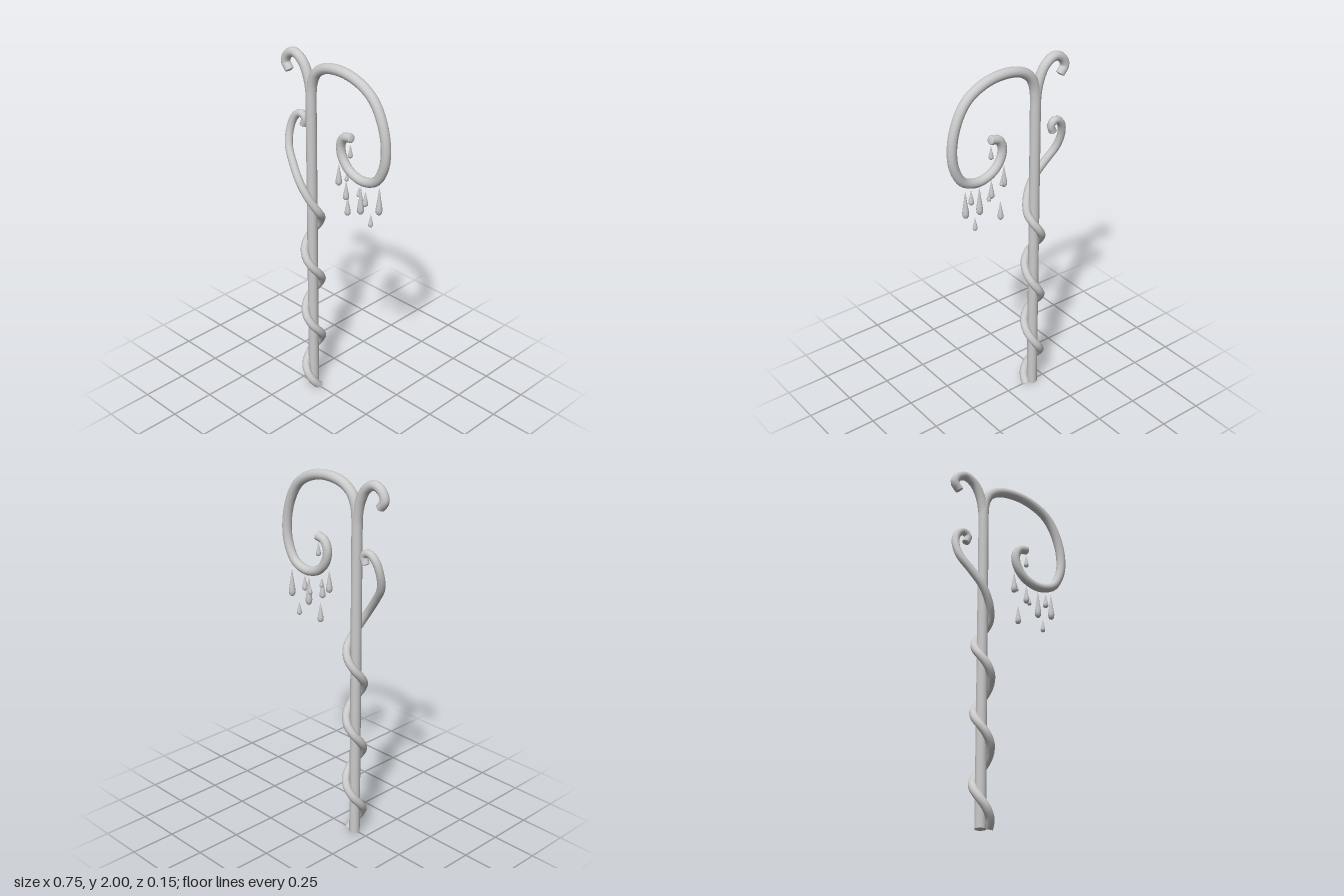
import * as THREE from 'three';

const POST_X = -0.168, POST_Z = -0.004;

export function createModel() {
  const model = new THREE.Group();
  const material = new THREE.MeshStandardMaterial({ color: 0xcccccc });

  const add = (parent, name, geometry) => {
    const mesh = new THREE.Mesh(geometry, material);
    mesh.name = name;
    parent.add(mesh);
    return mesh;
  };

  // Tapering tube through the points, with a slightly domed cap on its tip
  function stem(name, points, steps, r0, r1) {
    const group = new THREE.Group();
    group.name = name;
    const curve = new THREE.CatmullRomCurve3(points.map(p => new THREE.Vector3(...p)));
    const sides = 12;
    const tube = new THREE.TubeGeometry(curve, steps, 1, sides);
    const pos = tube.attributes.position, nor = tube.attributes.normal;
    for (let i = 0; i <= steps; i++) {
      const c = curve.getPointAt(i / steps);
      const r = r0 + (r1 - r0) * i / steps;
      for (let j = 0; j <= sides; j++) {
        const k = i * (sides + 1) + j;
        pos.setXYZ(k,
          c.x + nor.getX(k) * r,
          Math.max(0, c.y + nor.getY(k) * r), // trimmed level with the ground
          c.z + nor.getZ(k) * r);
      }
    }
    add(group, name + 'Tube', tube);
    const cap = add(group, name + 'Tip',
      new THREE.SphereGeometry(r1, sides, 4, 0, Math.PI * 2, 0, Math.PI / 2));
    cap.scale.y = 0.3;
    cap.position.copy(curve.getPointAt(1));
    cap.quaternion.setFromUnitVectors(new THREE.Vector3(0, 1, 0), curve.getTangentAt(1));
    model.add(group);
  }

  // Straight post
  const post = add(model, 'post', new THREE.CylinderGeometry(0.028, 0.029, 1.8, 16));
  post.position.set(POST_X, 0.9, POST_Z);

  // Main arm sweeping over into a large scroll
  const flat = list => list.map(([x, y]) => [x, y, POST_Z - 0.001]);
  stem('scrollArm', flat([
    [-0.168, 1.7], [-0.167, 1.78], [-0.158, 1.85], [-0.13, 1.905], [-0.07, 1.945],
    [0.035, 1.961], [0.15, 1.942], [0.25, 1.885], [0.312, 1.79], [0.345, 1.66],
    [0.336, 1.545], [0.285, 1.455], [0.195, 1.424], [0.105, 1.45], [0.053, 1.51],
    [0.042, 1.575], [0.065, 1.62], [0.112, 1.632]
  ]), 72, 0.028, 0.024);

  // Short hook on the other side
  stem('hook', flat([
    [-0.168, 1.7], [-0.171, 1.79], [-0.192, 1.88], [-0.23, 1.945], [-0.285, 1.974],
    [-0.333, 1.953], [-0.352, 1.91], [-0.325, 1.872]
  ]), 36, 0.028, 0.024);

  // Vine winding three turns round the post, then leaving it in a curl
  const vine = [];
  for (let i = 0; i <= 24; i++) {
    const a = i / 24 * 6 * Math.PI;
    vine.push([-0.164 + 0.041 * Math.cos(a), i / 24 * 1.13, POST_Z + 0.05 * Math.sin(a)]);
  }
  vine.push(
    [-0.15, 1.205, 0.034], [-0.2, 1.29, 0.05], [-0.268, 1.38, 0.035], [-0.322, 1.457, 0.012],
    [-0.336, 1.54, -0.012], [-0.317, 1.609, -0.027], [-0.277, 1.64, -0.033],
    [-0.245, 1.62, -0.035], [-0.259, 1.58, -0.035]);
  stem('vine', vine, 110, 0.023, 0.021);

  // Hanging drops: x, bottom y, z, height, radius
  const profile = [[0, 0], [0.55, 0.03], [0.92, 0.1], [1, 0.2], [0.85, 0.34],
    [0.5, 0.6], [0.25, 0.82], [0, 1]].map(p => new THREE.Vector2(...p));
  const drop = new THREE.LatheGeometry(profile, 10);
  const drops = new THREE.Group();
  drops.name = 'drops';
  model.add(drops);
  [
    [0.03, 1.343, -0.003, 0.125, 0.017], [0.063, 1.37, -0.027, 0.052, 0.011],
    [0.098, 1.29, 0.013, 0.108, 0.016], [0.071, 1.175, -0.027, 0.11, 0.016],
    [0.146, 1.31, -0.03, 0.055, 0.012], [0.185, 1.233, -0.003, 0.16, 0.018],
    [0.228, 1.3, 0.009, 0.085, 0.015], [0.289, 1.26, -0.027, 0.155, 0.018],
    [0.233, 1.17, -0.028, 0.075, 0.013], [0.11, 1.523, -0.003, 0.075, 0.013]
  ].forEach(([x, y, z, h, r], i) => {
    const mesh = add(drops, 'drop' + (i + 1), drop);
    mesh.position.set(x, y, z);
    mesh.scale.set(r, h, r);
  });

  return model;
}
